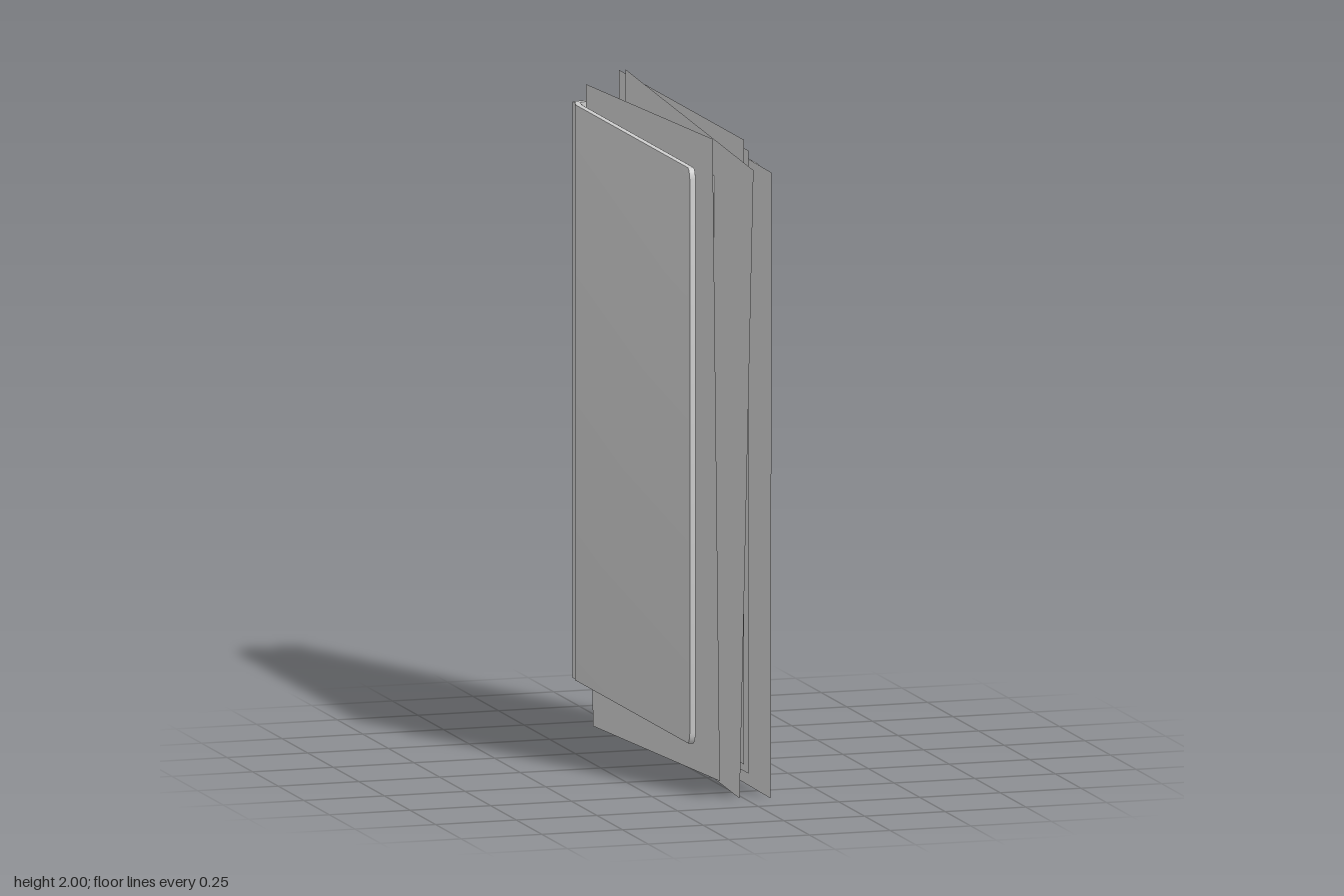
import * as THREE from 'three';
import { toCreasedNormals } from 'three/addons/utils/BufferGeometryUtils.js';

const material = new THREE.MeshStandardMaterial({ color: 0xcccccc });
const paper = new THREE.MeshStandardMaterial({ color: 0xcccccc, side: THREE.DoubleSide });
const BOTTOM = 0.135, TOP = 1.865;

function add(group, name, geometry, mat = material) {
  const mesh = new THREE.Mesh(geometry, mat);
  mesh.name = name;
  group.add(mesh);
  return mesh;
}

// Cover board: outline in (z, y) with rounded front corners, extruded along x
function coverGeometry() {
  const b = 0.004, back = -0.695 + b, front = 0.425 - b, lo = BOTTOM + b, hi = TOP - b;
  const s = new THREE.Shape();
  s.moveTo(back, lo);
  s.lineTo(front - 0.015, lo);
  s.quadraticCurveTo(front - 0.004, lo + 0.004, front, lo + 0.03);
  s.lineTo(front, hi - 0.03);
  s.quadraticCurveTo(front - 0.004, hi - 0.004, front - 0.015, hi);
  s.lineTo(back, hi);
  const g = new THREE.ExtrudeGeometry(s, {
    depth: 0.012, bevelEnabled: true, bevelSize: b, bevelThickness: b, bevelSegments: 2, curveSegments: 4,
  });
  g.center();
  g.rotateY(-Math.PI / 2);
  g.translate(0, (TOP + BOTTOM) / 2, (0.425 - 0.695) / 2);
  return toCreasedNormals(g, 0.6);
}

// Rounded spine with a hinge on each side: outline in (x, -z), extruded upwards
function spineGeometry() {
  const s = new THREE.Shape();
  s.moveTo(0.11, 0.685);
  s.lineTo(0.108, 0.703);
  s.lineTo(0.099, 0.725);
  s.lineTo(0.104, 0.74);
  s.quadraticCurveTo(0, 0.78, -0.104, 0.74);
  s.lineTo(-0.099, 0.725);
  s.lineTo(-0.108, 0.703);
  s.lineTo(-0.11, 0.685);
  s.lineTo(-0.09, 0.685);
  s.lineTo(-0.088, 0.722);
  s.quadraticCurveTo(0, 0.755, 0.088, 0.722);
  s.lineTo(0.09, 0.685);
  const g = new THREE.ExtrudeGeometry(s, { depth: TOP - BOTTOM, bevelEnabled: false, curveSegments: 16 });
  g.rotateX(-Math.PI / 2);
  g.translate(0, BOTTOM, 0);
  return toCreasedNormals(g, 0.5);
}

// Thin sheet at a given x; corners are [z, y], counter-clockwise
function sheetGeometry(x, corners) {
  const s = new THREE.Shape(corners.map(([z, y]) => new THREE.Vector2(z, y)));
  const g = new THREE.ShapeGeometry(s);
  g.rotateY(-Math.PI / 2);
  g.translate(x, 0, 0);
  return g;
}

export function createModel() {
  const book = new THREE.Group();
  book.name = 'book';

  // Binding
  for (const [name, side] of [['leftCover', 1], ['rightCover', -1]]) {
    add(book, name, coverGeometry()).position.x = side * 0.1;
  }
  add(book, 'spine', spineGeometry());

  // Pages
  const pages = new THREE.BoxGeometry(0.18, 1.675, 1.095);
  pages.translate(0, 0.9925, -0.1745);
  add(book, 'pageBlock', pages);

  // Loose sheets sticking out at slightly different angles
  const sheets = [
    [0.075, [[-0.6, 0.012], [0.635, 0], [0.645, 1.88], [-0.585, 1.89]]],
    [0.02, [[-0.66, 0.07], [0.59, 0.07], [0.59, 1.94], [-0.66, 1.94]]],
    [0.003, [[-0.62, 0.1], [0.6, 0.1], [0.6, 1.975], [-0.62, 1.975]]],
    [-0.018, [[-0.625, 0.09], [0.625, 0.003], [0.76, 1.912], [-0.49, 2]]],
    [-0.078, [[-0.62, 0.01], [0.62, 0.058], [0.55, 1.973], [-0.69, 1.925]]],
  ];
  sheets.forEach(([x, corners], i) => add(book, `looseSheet${i + 1}`, sheetGeometry(x, corners), paper));

  return book;
}
